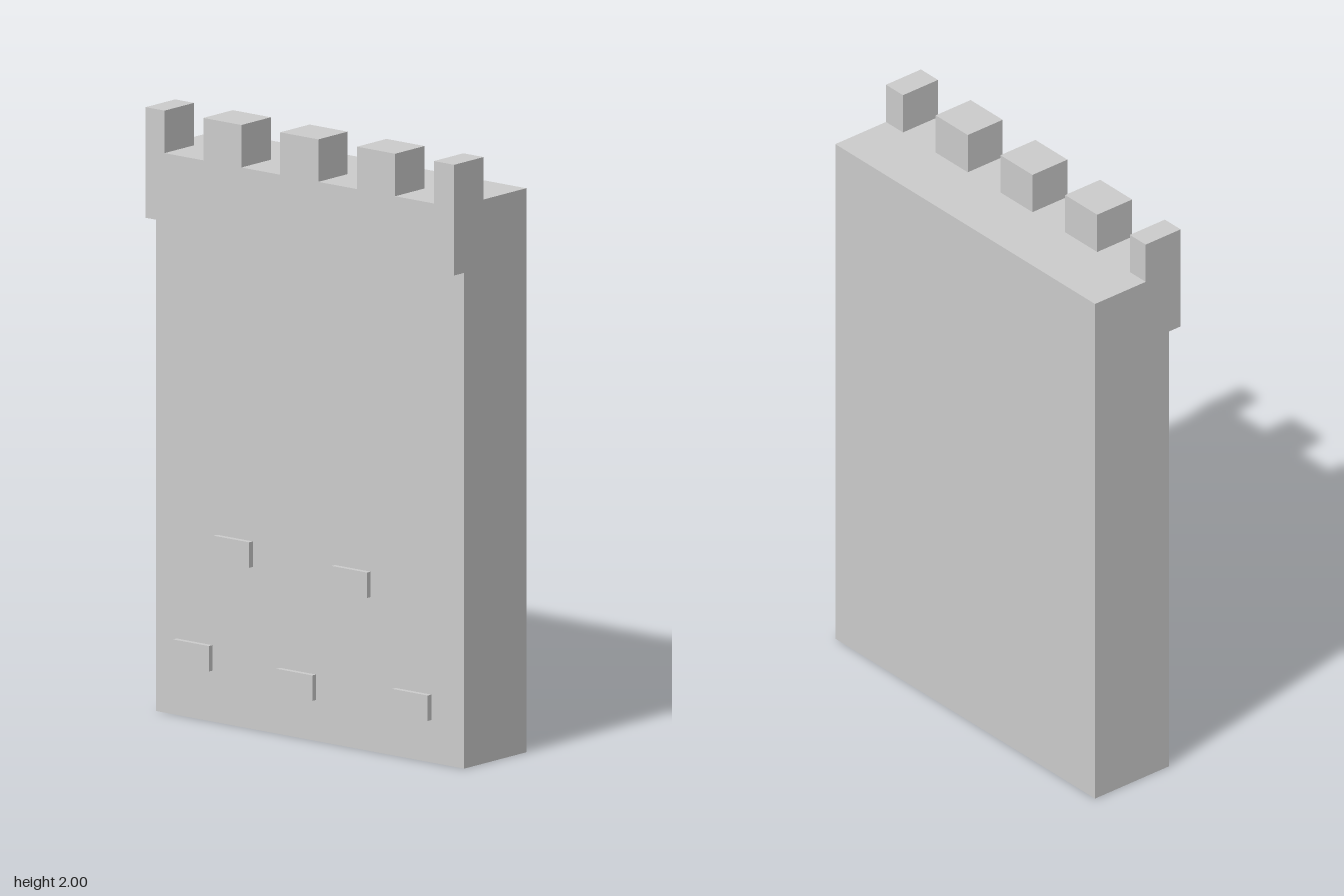
import * as THREE from 'three';

export function createModel() {
  const group = new THREE.Group();
  const material = new THREE.MeshStandardMaterial({ color: 0xcccccc, flatShading: true });
  const halfWidth = 0.648, back = -0.18, front = 0.13, lip = 0.18, walkY = 1.86;

  // Box given by its minimum and maximum on each axis
  const addBlock = (name, [x0, x1], [y0, y1], [z0, z1]) => {
    const mesh = new THREE.Mesh(new THREE.BoxGeometry(x1 - x0, y1 - y0, z1 - z0), material);
    mesh.position.set((x0 + x1) / 2, (y0 + y1) / 2, (z0 + z1) / 2);
    mesh.name = name;
    group.add(mesh);
  };

  // Wall with overhanging parapet: side profile (z, y) swept across the width
  const profile = new THREE.Shape([
    [back, 0], [front, 0], [front, 1.635], [lip, 1.635], [lip, walkY], [back, walkY],
  ].map(([z, y]) => new THREE.Vector2(z, y)));
  const wallGeometry = new THREE.ExtrudeGeometry(profile, { depth: halfWidth * 2, bevelEnabled: false });
  wallGeometry.rotateY(-Math.PI / 2).translate(halfWidth, 0, 0);
  const wall = new THREE.Mesh(wallGeometry, material);
  wall.name = 'wall';
  group.add(wall);

  // Merlons evenly spaced, the end ones cut off at the wall sides
  for (let i = -2; i <= 2; i++) {
    const x = i * 0.323 - 0.003;
    const span = [Math.max(x - 0.08, -halfWidth), Math.min(x + 0.08, halfWidth)];
    addBlock('merlon', span, [walkY, 2], [0.033, lip]);
  }

  // Raised stones on the front face
  for (const [x, y] of [[-0.315, 0.577], [0.18, 0.55], [-0.485, 0.21], [-0.05, 0.177], [0.435, 0.182]]) {
    addBlock('raisedStone', [x - 0.075, x + 0.075], [y - 0.042, y + 0.042], [front - 0.01, 0.148]);
  }

  return group;
}
